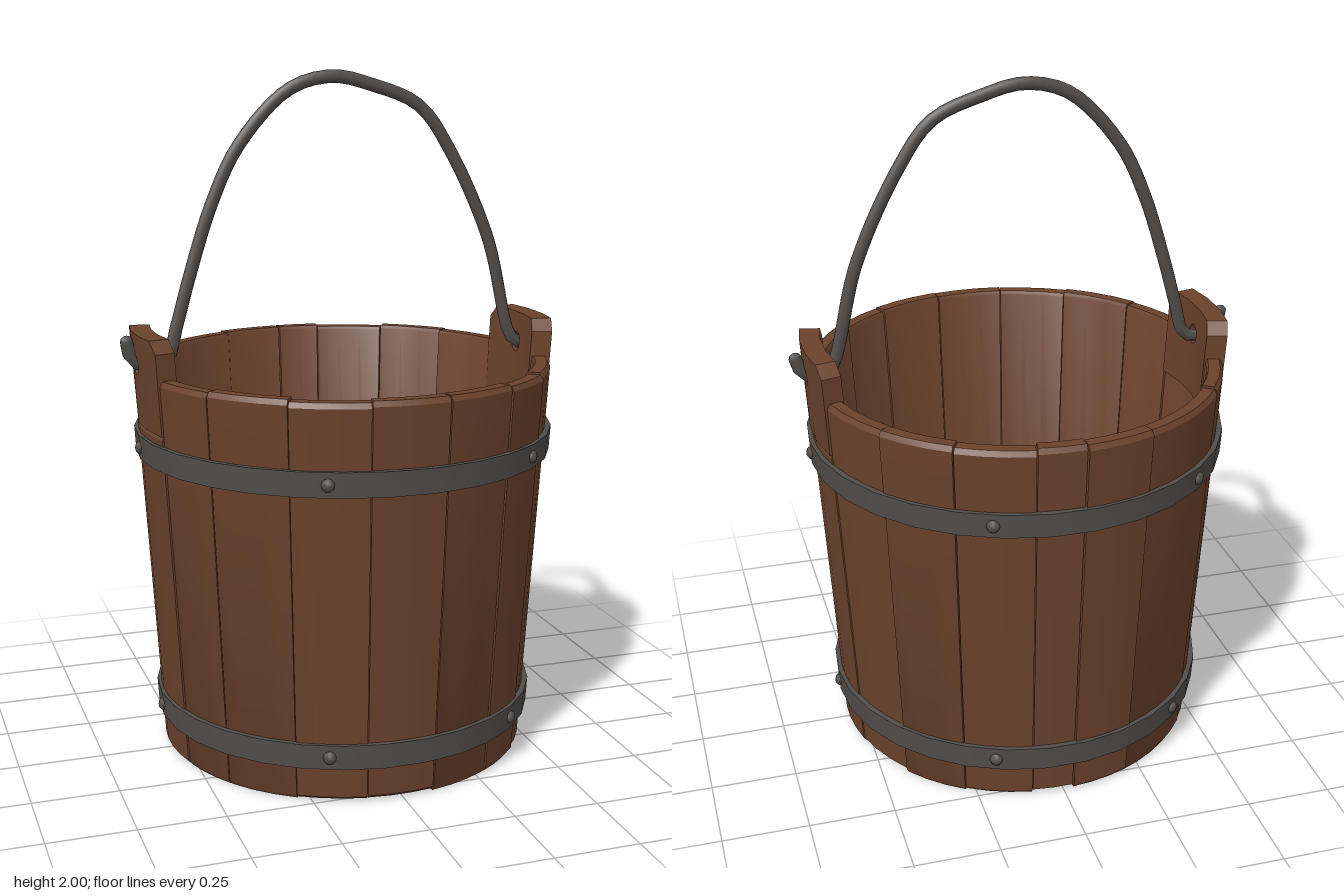
import * as THREE from 'three';
import { mergeGeometries, toCreasedNormals } from 'three/addons/utils/BufferGeometryUtils.js';

const wood = new THREE.MeshStandardMaterial({ color: 0x6b422c });
wood.name = 'brown wood';
const iron = new THREE.MeshStandardMaterial({ color: 0x514d4a });
iron.name = 'dark iron';

const rad = THREE.MathUtils.degToRad;
const wallRadius = (y) => 0.543 + 0.062 * y;

// Sweeps a closed (radius, height) profile around y, from angle a to b in degrees (+x towards +z).
function sector(profile, a, b, segments) {
  const pos = [];
  const n = profile.length;
  const point = (i, j) => {
    const t = rad(a + ((b - a) * j) / segments);
    const [r, y] = profile[i % n];
    return [r * Math.cos(t), y, r * Math.sin(t)];
  };
  for (let j = 0; j < segments; j++) {
    for (let i = 0; i < n; i++) {
      const p = point(i, j), q = point(i + 1, j), s = point(i + 1, j + 1), t = point(i, j + 1);
      pos.push(...p, ...q, ...s, ...p, ...s, ...t);
    }
  }
  for (let i = 1; i < n - 1; i++) {
    pos.push(...point(0, 0), ...point(i + 1, 0), ...point(i, 0));
    pos.push(...point(0, segments), ...point(i, segments), ...point(i + 1, segments));
  }
  const g = new THREE.BufferGeometry();
  g.setAttribute('position', new THREE.Float32BufferAttribute(pos, 3));
  return toCreasedNormals(g, rad(32));
}

function add(parent, name, geometry, material) {
  const mesh = new THREE.Mesh(geometry, material);
  mesh.name = name;
  parent.add(mesh);
  return mesh;
}

// Raised ear with a handle hole, bent around the wall in three strips.
function earGeometry() {
  const outlines = [
    [[-0.167, 1.0], [-0.05, 1.0], [-0.05, 1.27], [-0.135, 1.27], [-0.167, 1.235]],
    [[-0.05, 1.0], [0.05, 1.0], [0.05, 1.27], [-0.05, 1.27]],
    [[0.05, 1.0], [0.167, 1.0], [0.167, 1.235], [0.135, 1.27], [0.05, 1.27]],
  ];
  const strips = outlines.map((outline, i) => {
    const shape = new THREE.Shape(outline.map(([u, y]) => new THREE.Vector2(u, y)));
    if (i === 1) shape.holes.push(new THREE.Path().absarc(0, 1.18, 0.03, 0, Math.PI * 2, true));
    return new THREE.ExtrudeGeometry(shape, { depth: 0.06, bevelEnabled: false, curveSegments: 6 });
  });
  const g = mergeGeometries(strips);
  const p = g.attributes.position;
  for (let i = 0; i < p.count; i++) {
    const y = p.getY(i);
    const r = wallRadius(y) - 0.056 + p.getZ(i);
    const t = p.getX(i) / 0.6;
    p.setXYZ(i, r * Math.cos(t), y, -r * Math.sin(t));
  }
  return toCreasedNormals(g, rad(32));
}

// Floor plank between two x positions, trimmed to the round floor.
function plankGeometry(x0, x1, radius) {
  const edge = [];
  for (let k = 0; k <= 12; k++) {
    const x = x0 + ((x1 - x0) * k) / 12;
    edge.push([x, Math.sqrt(Math.max(0, radius * radius - x * x))]);
  }
  const outline = [...edge.map(([x, z]) => new THREE.Vector2(x, -z)),
    ...edge.reverse().map(([x, z]) => new THREE.Vector2(x, z))];
  const g = new THREE.ExtrudeGeometry(new THREE.Shape(outline), { depth: 0.045, bevelEnabled: false });
  return g.rotateX(-Math.PI / 2).translate(0, 0.04, 0);
}

export function createModel() {
  const bucket = new THREE.Group();
  bucket.name = 'bucket';

  // Staves of uneven width, the two ear staves stopping below the ears
  const staves = new THREE.Group();
  staves.name = 'staves';
  bucket.add(staves);
  const seams = [-16, 16, 41, 59, 80, 101, 122, 145, 164, 196, 216, 248, 267, 280, 301, 322, 344];
  for (let i = 0; i < seams.length - 1; i++) {
    const isEar = i === 0 || i === 8;
    const top = isEar ? 1.005 : 1.16 + 0.003 * Math.sin(i * 2.3);
    const bottom = 0.004 + 0.004 * Math.sin(i * 1.7);
    const shift = 0.003 * Math.sin(i * 4.1);
    const out = (y) => wallRadius(y) + shift;
    const profile = [
      [out(0) - 0.008, bottom], [out(0.015), 0.015],
      [out(top) - 0.001, top - 0.015], [out(top) - 0.01, top],
      [out(top) - 0.044, top], [out(top) - 0.05, top - 0.01],
      [out(0) - 0.052, bottom],
    ];
    const segments = Math.max(2, Math.round((seams[i + 1] - seams[i]) / 7));
    add(staves, 'stave', sector(profile, seams[i] + 0.15, seams[i + 1] - 0.15, segments), wood);
  }

  // Ears on both sides
  const ear = earGeometry();
  add(bucket, 'leftEar', ear, wood);
  add(bucket, 'rightEar', ear, wood).rotation.y = Math.PI;

  // Floor planks with narrow gaps
  for (const [x0, x1] of [[-0.498, 0.107], [0.113, 0.306], [0.311, 0.498]]) {
    add(bucket, 'floorPlank', plankGeometry(x0, x1, 0.498), wood);
  }

  // Hoops with domed rivets
  const rivet = new THREE.SphereGeometry(0.019, 8, 6);
  for (const [name, low, high] of [['upperHoop', 0.9, 0.972], ['lowerHoop', 0.105, 0.178]]) {
    const hoop = new THREE.Group();
    hoop.name = name;
    bucket.add(hoop);
    const r0 = wallRadius(low), r1 = wallRadius(high);
    add(hoop, 'band', sector([[r0 - 0.01, low], [r0 + 0.015, low], [r1 + 0.015, high], [r1 - 0.01, high]], 0, 360, 30), iron);
    for (const angle of [0, 48, 112, 180, 228, 291]) {
      const r = (r0 + r1) / 2 + 0.014;
      const m = add(hoop, 'rivet', rivet, iron);
      m.position.set(r * Math.cos(rad(angle)), (low + high) / 2, r * Math.sin(rad(angle)));
      m.rotation.y = -rad(angle);
      m.scale.x = 0.75;
    }
  }

  // Thin iron ring inside, just above the floor
  add(bucket, 'innerRing', sector([[0.482, 0.08], [0.505, 0.08], [0.505, 0.12], [0.485, 0.12]], 0, 360, 26), iron);

  // Bent handle, hooked outward through the ears
  const path = [
    [-0.645, 1.245], [-0.63, 1.19], [-0.58, 1.175], [-0.53, 1.185], [-0.5, 1.28], [-0.46, 1.42],
    [-0.39, 1.63], [-0.31, 1.79], [-0.16, 1.945], [-0.03, 1.98], [0.09, 1.955], [0.235, 1.895],
    [0.33, 1.77], [0.46, 1.5], [0.535, 1.21], [0.56, 1.178], [0.62, 1.18], [0.645, 1.235],
  ].map(([x, y]) => new THREE.Vector3(x, y, 0));
  const curve = new THREE.CatmullRomCurve3(path, false, 'centripetal');
  const handle = new THREE.Group();
  handle.name = 'handle';
  handle.scale.z = 0.7;
  bucket.add(handle);
  add(handle, 'rod', new THREE.TubeGeometry(curve, 64, 0.019, 8, false), iron);
  for (const end of [path[0], path[path.length - 1]]) {
    add(handle, 'hookTip', new THREE.SphereGeometry(0.019, 8, 6), iron).position.copy(end);
  }

  return bucket;
}
